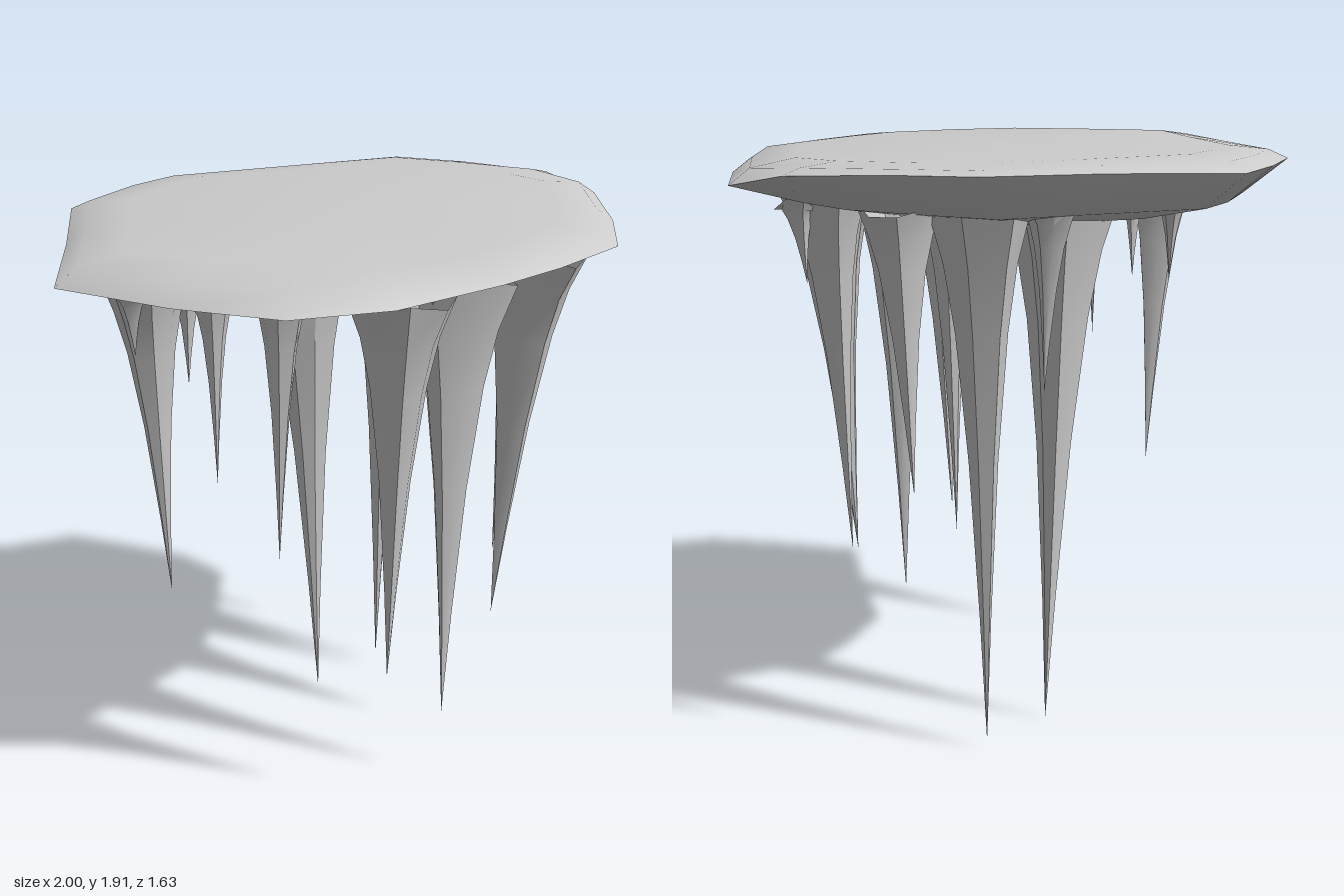
import * as THREE from 'three';
import { toCreasedNormals } from 'three/addons/utils/BufferGeometryUtils.js';

const material = new THREE.MeshStandardMaterial({ color: 0xcccccc, side: THREE.DoubleSide });

// Skin a stack of rings (each an array of [x, y, z]), listed from top to bottom
function loft(rings, crease) {
  const n = rings[0].length, pos = [], index = [];
  rings.forEach(ring => ring.forEach(p => pos.push(...p)));
  for (let r = 0; r < rings.length - 1; r++) {
    for (let i = 0; i < n; i++) {
      const a = r * n + i, b = r * n + (i + 1) % n;
      index.push(a, b, a + n, b, b + n, a + n);
    }
  }
  const geo = new THREE.BufferGeometry();
  geo.setAttribute('position', new THREE.Float32BufferAttribute(pos, 3));
  geo.setIndex(index);
  return toCreasedNormals(geo, crease);
}

// Rock slab: rim points [x, y, z], counter-clockwise seen from above
const rim = [
  [-0.19, 1.86, -0.82], [-0.39, 1.865, -0.76], [-0.62, 1.865, -0.64], [-0.8, 1.855, -0.29],
  [-1, 1.84, 0.06], [-0.8, 1.825, 0.36], [-0.6, 1.825, 0.62], [-0.33, 1.835, 0.74],
  [-0.02, 1.87, 0.81], [0.24, 1.86, 0.75], [0.56, 1.85, 0.65], [0.79, 1.84, 0.39],
  [1, 1.84, 0.08], [0.96, 1.88, -0.13], [0.79, 1.89, -0.38], [0.64, 1.89, -0.58], [0.25, 1.88, -0.69],
];

function createSlab() {
  // Copy of the rim scaled towards the middle; its height can follow the rim or tilt along z
  const ring = (s, y, { dx = 0, dz = 0, follow = 0, tilt = 0 } = {}) => rim.map(p => [
    p[0] * s + dx, y + (p[1] - y) * follow + p[2] * tilt, p[2] * s + dz,
  ]);
  const rings = [
    ring(0, 1.91), ring(0.78, 1.906), ring(0.93, 1.905, { follow: 0.3 }), rim,
    ring(0.8, 1.775, { dx: -0.02, dz: -0.03, tilt: 0.035 }),
    ring(0.45, 1.705, { dx: -0.08, dz: -0.07, tilt: 0.015 }),
    ring(0, 1.685, { dx: -0.15, dz: -0.08 }),
  ];
  const slab = new THREE.Mesh(loft(rings, 0.85), material);
  slab.name = 'rockSlab';
  return slab;
}

// Concave taper: [distance from base to tip, share of the base radius]
const taper = [[0, 1], [0.1, 0.72], [0.22, 0.52], [0.45, 0.3], [0.75, 0.12], [1, 0]];

// Spike hanging from base [x, y, z] down to tip [x, y, z], with an uneven upper edge
function createSpike(base, tip, radius, seed) {
  const sides = 7;
  const rings = taper.map(([t, k]) => Array.from({ length: sides }, (_, i) => {
    const a = -(i / sides) * Math.PI * 2 + seed * 1.3;
    const wobble = 1 + 0.14 * Math.sin(i * 2.4 + seed);
    const jag = t === 0 ? 0.025 * Math.sin(i * 4.1 + seed * 2) : 0;
    const r = radius * k * wobble;
    return [
      base[0] + (tip[0] - base[0]) * t + r * Math.cos(a),
      base[1] + (tip[1] - base[1]) * t + jag,
      base[2] + (tip[2] - base[2]) * t + r * Math.sin(a),
    ];
  }));
  const mesh = new THREE.Mesh(loft(rings, 0.6), material);
  mesh.name = 'stalactite' + (seed + 1);
  return mesh;
}

// Base, tip, base radius
const spikes = [
  [[0.05, 1.77, -0.3], [0.075, 0, -0.265], 0.17],
  [[0.41, 1.78, -0.33], [0.365, 0.03, -0.295], 0.17],
  [[0.08, 1.79, 0.48], [0.095, 0.27, 0.46], 0.17],
  [[-0.21, 1.82, 0.61], [-0.165, 0.52, 0.5], 0.16],
  [[0.44, 1.81, 0.41], [0.38, 0.52, 0.36], 0.18],
  [[0.2, 1.76, 0.06], [0.185, 0.62, 0.06], 0.11],
  [[0.59, 1.78, 0.17], [0.555, 0.62, 0.15], 0.12],
  [[-0.66, 1.78, -0.06], [-0.63, 0.73, -0.055], 0.13],
  [[-0.3, 1.75, 0.13], [-0.33, 0.83, 0.13], 0.1],
  [[0.62, 1.78, -0.21], [0.585, 0.9, -0.215], 0.12],
  [[-0.56, 1.78, 0.17], [-0.57, 1.18, 0.17], 0.07],
  [[0.28, 1.78, -0.49], [0.285, 1.22, -0.47], 0.08],
  [[-0.52, 1.75, -0.06], [-0.53, 1.42, -0.06], 0.06],
  [[-0.34, 1.74, -0.4], [-0.35, 1.47, -0.39], 0.06],
  [[-0.76, 1.79, 0.05], [-0.76, 1.59, 0.05], 0.06],
  [[0.68, 1.76, 0.2], [0.675, 1.51, 0.18], 0.07],
];

export function createModel() {
  const model = new THREE.Group();
  model.name = 'hangingStalactites';
  model.add(createSlab());
  spikes.forEach(([base, tip, radius], i) => model.add(createSpike(base, tip, radius, i)));
  return model;
}
